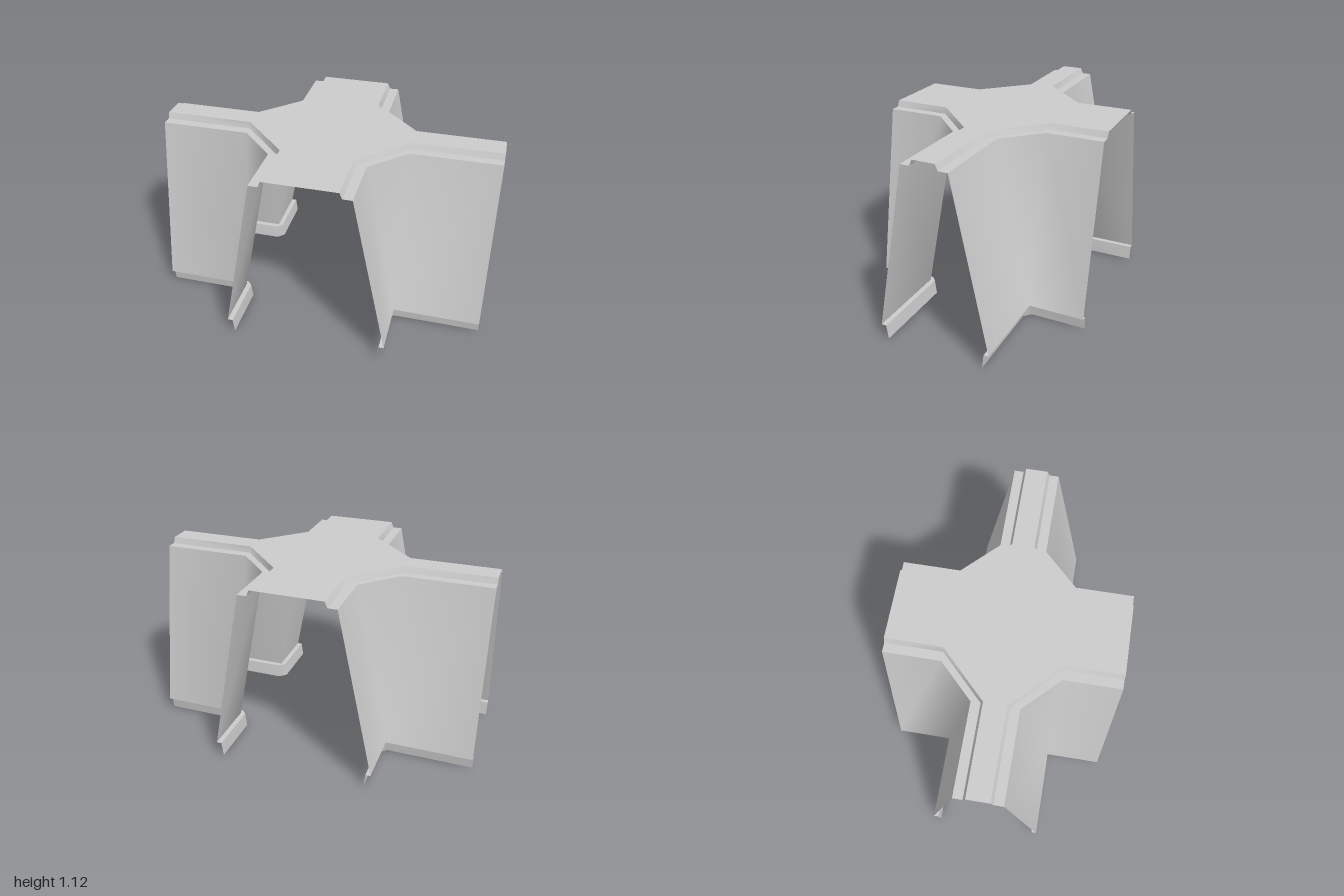
import * as THREE from 'three';
import { mergeVertices } from 'three/addons/utils/BufferGeometryUtils.js';

const END_X = 1, END_Z = 0.667;        // open ends of the four arms
const CORNER_X = 0.48, CORNER_Z = 0.335; // inner corner at the wall foot
const TOP = 1.12;
const TOP_INSET = 0.27;

const material = new THREE.MeshStandardMaterial({ color: 0xcccccc, side: THREE.DoubleSide });

// Plan outline of one corner, moved inward by d; the corner chamfer grows with d
function cornerPath(d, sx, sz) {
  return [
    [END_X, CORNER_Z - d], [CORNER_X, CORNER_Z - d],
    [CORNER_X - d, CORNER_Z], [CORNER_X - d, END_Z],
  ].map(([x, z]) => [x * sx, z * sz]);
}

// Surface between two corner outlines, each given as [inset, height]
function strip([d0, y0], [d1, y1], sx, sz) {
  const lower = cornerPath(d0, sx, sz), upper = cornerPath(d1, sx, sz);
  const positions = [], index = [];
  lower.forEach(([x, z], i) => {
    positions.push(x, y0, z, upper[i][0], y1, upper[i][1]);
  });
  for (let i = 0; i < lower.length - 1; i++) {
    const a = 2 * i, b = a + 1, c = a + 2, d = a + 3;
    if (sx * sz > 0) index.push(a, b, c, b, d, c);
    else index.push(a, c, b, b, c, d);
  }
  const geometry = new THREE.BufferGeometry();
  geometry.setAttribute('position', new THREE.Float32BufferAttribute(positions, 3));
  geometry.setIndex(index);
  const welded = mergeVertices(geometry, 1e-4);
  welded.computeVertexNormals();
  return welded;
}

// Bands of the wall section, foot to roof
const bands = [
  ['footTrim', [0.04, 0], [0.03, 0.085]],
  ['footLedge', [0.03, 0.085], [0, 0.085]],
  ['slopedWall', [0, 0.085], [0.2, 1.085]],
  ['roofLedge', [0.2, 1.085], [0.255, 1.085]],
  ['roofEdge', [0.255, 1.085], [TOP_INSET, TOP]],
];

export function createModel() {
  const model = new THREE.Group();
  model.name = 'crossJunction';

  // Four mirrored corner walls
  for (const sx of [-1, 1]) for (const sz of [-1, 1]) {
    const corner = new THREE.Group();
    corner.name = `${sz > 0 ? 'front' : 'back'}${sx > 0 ? 'Left' : 'Right'}Corner`;
    for (const [name, from, to] of bands) {
      const mesh = new THREE.Mesh(strip(from, to, sx, sz), material);
      mesh.name = name;
      corner.add(mesh);
    }
    model.add(corner);
  }

  // Flat cross-shaped roof joining the corners
  const outline = [];
  for (const [sx, sz] of [[1, 1], [-1, 1], [-1, -1], [1, -1]]) {
    const path = cornerPath(TOP_INSET, sx, sz);
    if (sx * sz < 0) path.reverse();
    outline.push(...path.map(([x, z]) => new THREE.Vector2(x, z)));
  }
  const roof = new THREE.Mesh(new THREE.ShapeGeometry(new THREE.Shape(outline)), material);
  roof.geometry.rotateX(-Math.PI / 2);
  roof.position.y = TOP;
  roof.name = 'roof';
  model.add(roof);

  return model;
}
